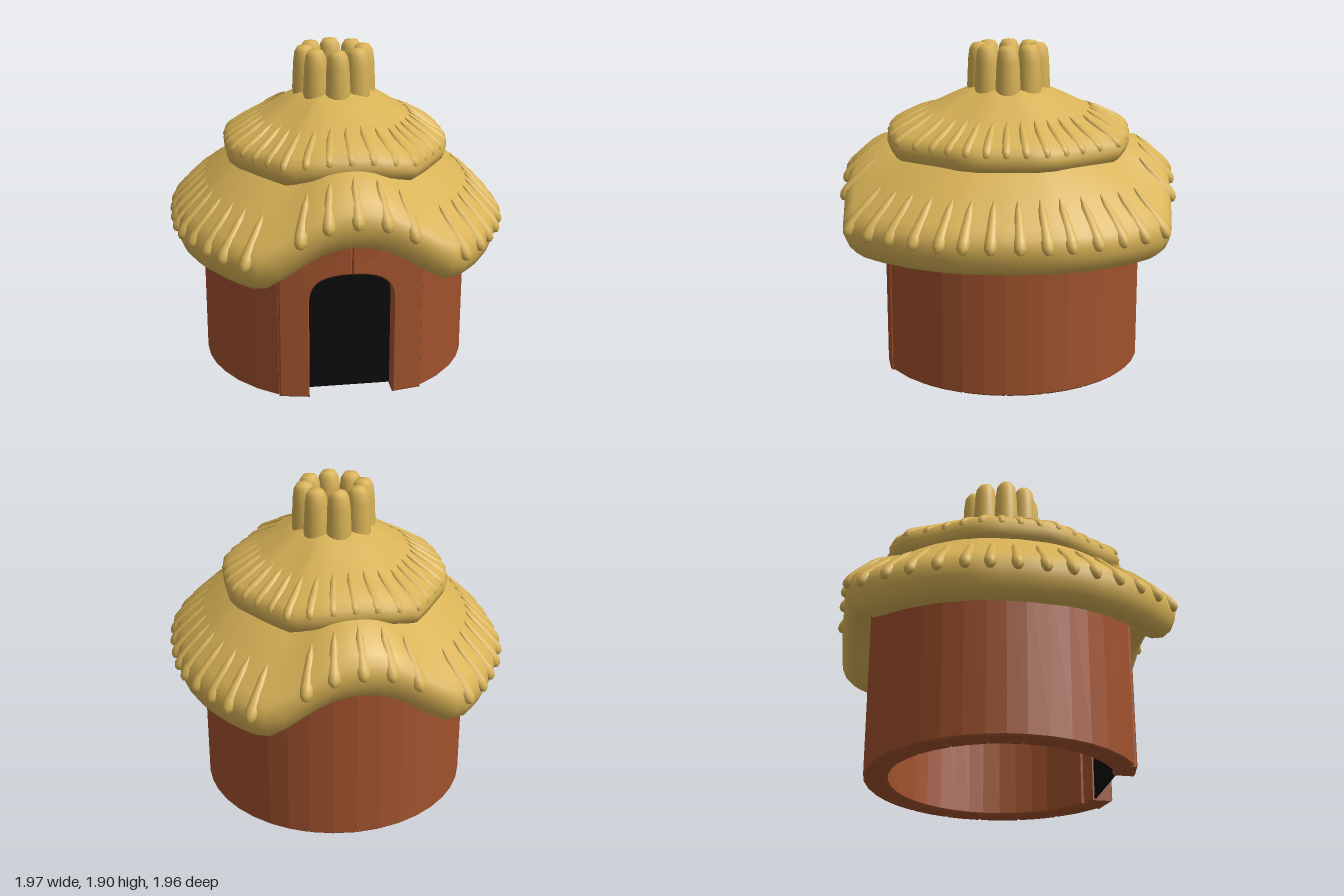
import * as THREE from 'three';
import { mergeVertices } from 'three/addons/utils/BufferGeometryUtils.js';

const straw = new THREE.MeshStandardMaterial({ color: 0xd8b256, side: THREE.DoubleSide });
straw.name = 'straw';
const wood = new THREE.MeshStandardMaterial({ color: 0xa0522d });
wood.name = 'wood';
const dark = new THREE.MeshStandardMaterial({ color: 0x0b0b0b });
dark.name = 'dark doorway';

function add(parent, name, geometry, material) {
  const mesh = new THREE.Mesh(geometry, material);
  mesh.name = name;
  parent.add(mesh);
  return mesh;
}

// Plan radius for an azimuth (0 = front), from a quarter outline of [x, z] corners
function outlineRadius(quarter, azimuth) {
  const s = Math.abs(Math.sin(azimuth)), c = Math.abs(Math.cos(azimuth));
  for (let i = 0; i < quarter.length - 1; i++) {
    const [x0, z0] = quarter[i], [x1, z1] = quarter[i + 1];
    if (s * z1 - c * x1 <= 1e-6) {
      return (x0 * z1 - z0 * x1 + 0) / (s * (z1 - z0) - c * (x1 - x0));
    }
  }
  return quarter[quarter.length - 1][0];
}

// Point on a thatch tier; eaves arch upward at front and back
function tierPoint(tier, azimuth, frac, y) {
  const r = outlineRadius(tier.outline, azimuth);
  const t = Math.min(1, Math.abs(r * Math.sin(azimuth)) / tier.archWidth);
  const arch = tier.lift * (0.5 + 0.5 * Math.cos(Math.PI * Math.pow(t, 1.2)));
  const fade = THREE.MathUtils.clamp((frac - 0.35) / 0.5, 0, 1);
  return new THREE.Vector3(r * frac * Math.sin(azimuth), y + arch * fade, r * frac * Math.cos(azimuth));
}

// Thatch tier: a lathe reshaped to the tier's outline and arch
function tierGeometry(tier) {
  const g = new THREE.LatheGeometry(tier.profile.map(([f, y]) => new THREE.Vector2(f, y)), 72);
  const p = g.attributes.position;
  for (let i = 0; i < p.count; i++) {
    const frac = Math.hypot(p.getX(i), p.getZ(i));
    const v = tierPoint(tier, Math.atan2(p.getX(i), p.getZ(i)), frac, p.getY(i));
    p.setXYZ(i, v.x, v.y, v.z);
  }
  g.deleteAttribute('uv');
  g.deleteAttribute('normal');
  const merged = mergeVertices(g, 1e-4);
  merged.computeVertexNormals();
  return merged;
}

// Teardrop tuft with its tip at y = 1 and its rounded end at y = 0
const tuftShape = [[0, 0], [0.022, 0.03], [0.036, 0.1], [0.042, 0.22], [0.037, 0.42], [0.022, 0.78], [0, 1]];
const tuftGeometry = new THREE.LatheGeometry(tuftShape.map(([r, y]) => new THREE.Vector2(r, y)), 10);

function addTuft(parent, tier, azimuth) {
  const [tip, end] = tier.tuft.map(([f, y]) => tierPoint(tier, azimuth, f, y));
  const axis = tip.clone().sub(end);
  const mesh = add(parent, 'strawTuft', tuftGeometry, straw);
  mesh.position.copy(end);
  mesh.quaternion.setFromUnitVectors(new THREE.Vector3(0, 1, 0), axis.clone().normalize());
  mesh.scale.set(tier.tuftWidth, axis.length(), tier.tuftWidth);
}

// Wall plank between two azimuths, bevelled along its edges
function plankGeometry(a0, a1) {
  const outer = 0.79, inner = 0.65, n = 2, pts = [];
  const at = (r, a) => new THREE.Vector2(r * Math.sin(a), -r * Math.cos(a));
  for (let i = 0; i <= n; i++) pts.push(at(outer, a0 + (a1 - a0) * i / n));
  for (let i = n; i >= 0; i--) pts.push(at(inner, a0 + (a1 - a0) * i / n));
  const b = 0.01;
  const g = new THREE.ExtrudeGeometry(new THREE.Shape(pts), {
    depth: 1.05 - 2 * b, bevelSize: b, bevelOffset: -b, bevelThickness: b, bevelSegments: 1,
  });
  g.rotateX(-Math.PI / 2);
  g.translate(0, b, 0);
  return g;
}

// Half of the arched door surround, bent slightly to follow the wall
function doorFrameGeometry(side) {
  const s = new THREE.Shape();
  s.moveTo(side * 0.24, 0);
  s.lineTo(side * 0.41, 0);
  s.lineTo(side * 0.41, 1.05);
  s.lineTo(0, 1.05);
  s.lineTo(0, 0.76);
  s.bezierCurveTo(side * 0.13, 0.76, side * 0.24, 0.73, side * 0.24, 0.6);
  s.closePath();
  const b = 0.008;
  const g = new THREE.ExtrudeGeometry(s, {
    depth: 0.13 - 2 * b, bevelSize: b, bevelOffset: -b, bevelThickness: b, bevelSegments: 1, curveSegments: 8,
  });
  const p = g.attributes.position;
  for (let i = 0; i < p.count; i++) p.setZ(i, p.getZ(i) + 0.61 + b - 0.3 * p.getX(i) ** 2);
  g.computeVertexNormals();
  return g;
}

export function createModel() {
  const hut = new THREE.Group();
  hut.name = 'hut';

  // Ring of wall planks, mirrored left and right
  const walls = new THREE.Group();
  walls.name = 'walls';
  hut.add(walls);
  const seams = [31.5, 54, 72, 90, 106, 124, 142, 160, 180].map(THREE.MathUtils.degToRad);
  for (let i = 0; i < seams.length - 1; i++) {
    add(walls, 'leftPlank', plankGeometry(seams[i], seams[i + 1]), wood);
    add(walls, 'rightPlank', plankGeometry(-seams[i + 1], -seams[i]), wood);
  }

  // Door surround and dark doorway
  add(walls, 'leftDoorFrame', doorFrameGeometry(1), wood);
  add(walls, 'rightDoorFrame', doorFrameGeometry(-1), wood);
  const opening = add(hut, 'doorway', new THREE.BoxGeometry(0.5, 0.77, 0.009), dark);
  opening.position.set(0, 0.395, 0.615);

  // Lower and upper thatch tiers
  const lower = {
    outline: [[0, 0.95], [0.3, 0.945], [0.57, 0.925], [0.72, 0.76], [0.85, 0.55], [0.94, 0.3], [0.96, 0]],
    profile: [[0.74, 0.86], [0.8, 0.79], [0.86, 0.75], [0.92, 0.745], [0.965, 0.78], [0.99, 0.84], [1, 0.9],
      [0.985, 0.96], [0.94, 1.01], [0.8, 1.13], [0.62, 1.27], [0.45, 1.37], [0.28, 1.47]],
    lift: 0.23, archWidth: 0.62, tuft: [[0.8, 1.14], [1.02, 0.88]], tuftWidth: 0.95,
  };
  const upper = {
    outline: [[0, 0.71], [0.2, 0.705], [0.37, 0.645], [0.46, 0.51], [0.61, 0.28], [0.645, 0.18], [0.65, 0]],
    profile: [[0.72, 1.3], [0.82, 1.25], [0.92, 1.235], [0.98, 1.265], [1, 1.31], [0.99, 1.36],
      [0.94, 1.395], [0.8, 1.445], [0.6, 1.52], [0.45, 1.585], [0.33, 1.63], [0.24, 1.65]],
    lift: 0.05, archWidth: 0.5, tuft: [[0.66, 1.505], [1.0, 1.335]], tuftWidth: 0.8,
  };
  add(hut, 'lowerThatch', tierGeometry(lower), straw);
  add(hut, 'upperThatch', tierGeometry(upper), straw);

  // Tufts along the lower eave: clusters over the arches and along both sides
  const tufts = new THREE.Group();
  tufts.name = 'strawTufts';
  hut.add(tufts);
  const rim = [[0.16, 0.95], [0.31, 0.94], [0.6, 0.88], [0.71, 0.76], [0.79, 0.64], [0.86, 0.5],
    [0.92, 0.36], [0.95, 0.23], [0.96, 0.08]];
  for (const [x, z] of rim) {
    for (const sx of [-1, 1]) for (const sz of [-1, 1]) addTuft(tufts, lower, Math.atan2(sx * x, sz * z));
  }
  addTuft(tufts, lower, 0);
  addTuft(tufts, lower, Math.PI);

  // Tufts around the upper eave
  for (let i = 0; i < 36; i++) addTuft(tufts, upper, i * Math.PI / 18);

  // Open bundle of straw at the peak
  const bundle = new THREE.Group();
  bundle.name = 'peakBundle';
  hut.add(bundle);
  const stalk = new THREE.LatheGeometry([[0.07, 1.52], [0.073, 1.65], [0.066, 1.8], [0.058, 1.86], [0.04, 1.89], [0, 1.897]]
    .map(([r, y]) => new THREE.Vector2(r, y)), 14);
  for (let i = 0; i < 8; i++) {
    const a = i * Math.PI / 4;
    add(bundle, 'stalk', stalk, straw).position.set(0.172 * Math.sin(a), 0, 0.172 * Math.cos(a));
  }
  return hut;
}
